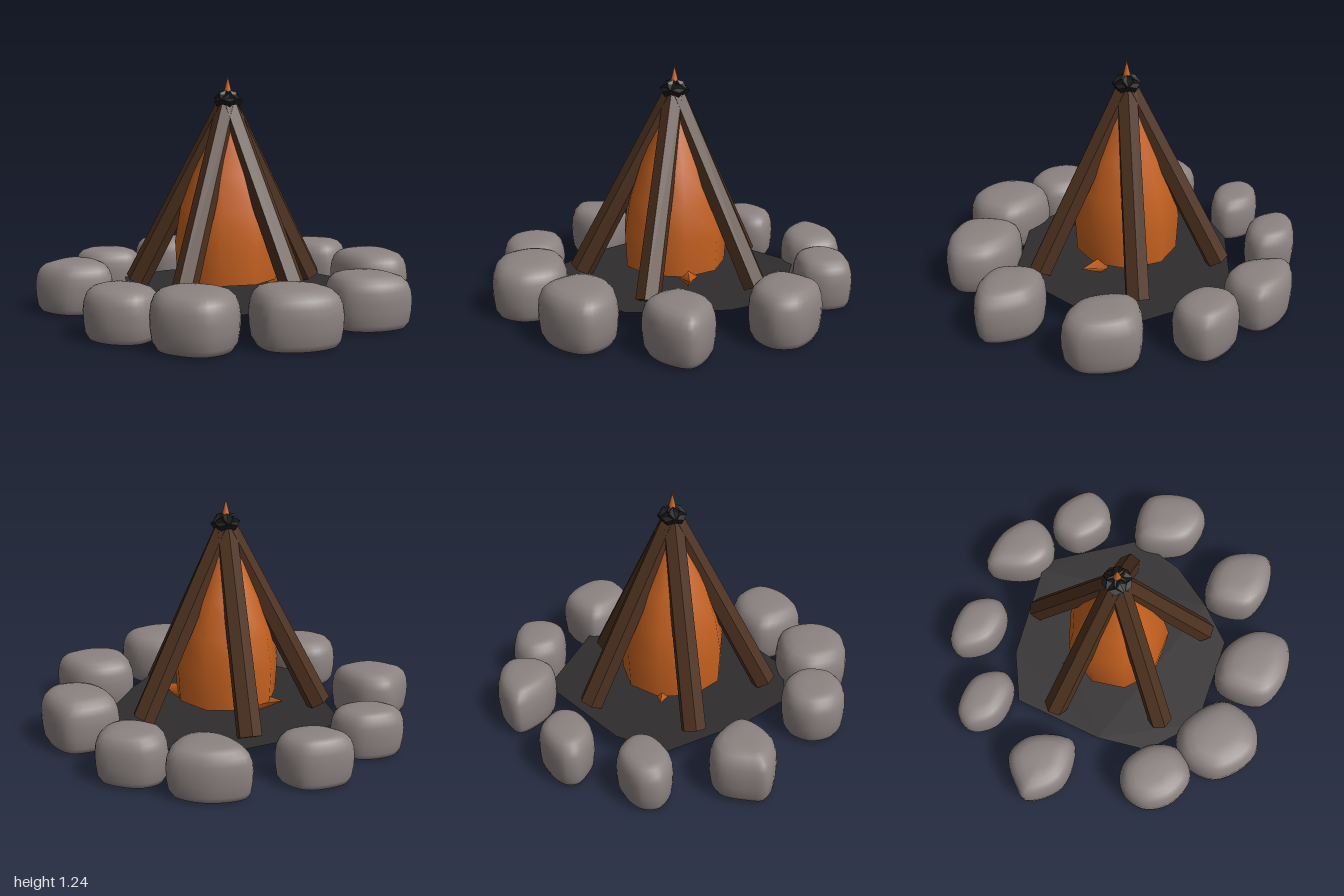
import * as THREE from 'three';

const mat = (color, flatShading = true, side = THREE.FrontSide) =>
  new THREE.MeshStandardMaterial({ color, flatShading, side, roughness: 1 });

function add(parent, name, geometry, material) {
  const mesh = new THREE.Mesh(geometry, material);
  mesh.name = name;
  parent.add(mesh);
  return mesh;
}

// Boulder: a smooth plan outline swept through layers of [scale, height fraction]
const stoneLayers = [[0, 0], [0.6, 0], [0.86, 0.03], [0.95, 0.14], [0.99, 0.35], [1, 0.55], [0.97, 0.72],
  [0.9, 0.85], [0.77, 0.94], [0.58, 0.985], [0.3, 1], [0, 1]];
function stoneGeometry(outline, height) {
  const corners = outline.map(([x, z]) => new THREE.Vector3(x, 0, z));
  const sides = 36;
  const plan = new THREE.CatmullRomCurve3(corners, true).getPoints(sides).slice(0, sides);
  const centre = new THREE.Box3().setFromPoints(plan).getCenter(new THREE.Vector3());
  const positions = [];
  const index = [];
  stoneLayers.forEach(([scale, level], i) => {
    plan.forEach((p, j) => {
      const v = centre.clone().lerp(p, scale);
      positions.push(v.x, 0.01 + level * (height - 0.01), v.z);
      if (i === stoneLayers.length - 1) return;
      const a = i * sides + j;
      const b = i * sides + (j + 1) % sides;
      index.push(a, a + sides, b, b, a + sides, b + sides);
    });
  });
  const geo = new THREE.BufferGeometry();
  geo.setAttribute('position', new THREE.Float32BufferAttribute(positions, 3));
  geo.setIndex(index);
  geo.computeVertexNormals();
  return geo;
}

// A log section between two points, six-sided
function logGeometry(from, to, rFrom, rTo) {
  const axis = to.clone().sub(from);
  const geo = new THREE.CylinderGeometry(rTo, rFrom, axis.length(), 6);
  geo.rotateX(Math.atan2(axis.z, axis.y));
  geo.translate(0, (from.y + to.y) / 2, (from.z + to.z) / 2);
  return geo;
}

export function createModel() {
  const model = new THREE.Group();
  model.name = 'campfire';

  // Ring of stones: top height, then the x, z corners of the outline
  const stones = [
    [0.28, [[-0.47, -0.79], [-0.3, -0.925], [-0.09, -0.92], [-0.05, -0.77], [-0.11, -0.66], [-0.24, -0.63], [-0.38, -0.69]]],
    [0.28, [[-0.03, -0.8], [0.05, -0.91], [0.28, -0.92], [0.33, -0.79], [0.27, -0.67], [0.05, -0.66]]],
    [0.3, [[0.37, -0.53], [0.55, -0.72], [0.79, -0.58], [0.79, -0.44], [0.62, -0.35], [0.42, -0.44]]],
    [0.29, [[0.55, 0], [0.65, -0.14], [0.79, -0.18], [0.99, -0.06], [0.89, 0.11], [0.71, 0.17]]],
    [0.3, [[0.35, 0.46], [0.47, 0.31], [0.69, 0.29], [0.82, 0.42], [0.73, 0.59], [0.53, 0.67]]],
    [0.3, [[-0.03, 0.73], [0.04, 0.58], [0.33, 0.56], [0.42, 0.75], [0.34, 0.9], [0.09, 0.91]]],
    [0.275, [[-0.395, 0.73], [-0.33, 0.61], [-0.15, 0.58], [-0.02, 0.67], [-0.03, 0.84], [-0.19, 0.91], [-0.34, 0.86]]],
    [0.285, [[-0.89, 0.44], [-0.85, 0.27], [-0.7, 0.23], [-0.5, 0.37], [-0.66, 0.55], [-0.88, 0.52]]],
    [0.26, [[-0.99, -0.09], [-0.82, -0.22], [-0.66, -0.17], [-0.65, -0.07], [-0.82, 0.06], [-0.98, 0.02]]],
    [0.27, [[-0.85, -0.48], [-0.67, -0.63], [-0.5, -0.57], [-0.5, -0.46], [-0.66, -0.35], [-0.84, -0.4]]],
  ];
  const ring = new THREE.Group();
  ring.name = 'stoneRing';
  model.add(ring);
  const stoneMat = mat(0x8c8381, false);
  for (const [top, outline] of stones) add(ring, 'stone', stoneGeometry(outline, top), stoneMat);

  // Thin uneven sheet of ash inside the ring
  const rim = [[-0.66, 0], [-0.55, -0.26], [-0.19, -0.64], [-0.13, -0.68], [0.4, -0.54], [0.52, -0.28],
    [0.545, 0], [0.53, 0.25], [0.16, 0.59], [-0.16, 0.59], [-0.37, 0.4]];
  const ashShape = new THREE.Shape(rim.map(([x, z]) => new THREE.Vector2(x, -z)));
  const ash = add(model, 'ashBed', new THREE.ShapeGeometry(ashShape), mat(0x302c2e, true, THREE.DoubleSide));
  ash.rotation.x = -Math.PI / 2;
  ash.position.y = 0.12;

  const pyre = new THREE.Group();
  pyre.name = 'pyre';
  pyre.position.set(-0.02, 0, -0.02);
  model.add(pyre);

  // Five leaning logs whose charred tips cross at the top
  const logMat = mat(0x4d311f);
  const charMat = mat(0x19191b);
  const foot = new THREE.Vector3(0, 0.147, 0.497);
  const neck = new THREE.Vector3(0, 1.08, 0.014);
  const tip = new THREE.Vector3(0, 1.15, -0.033);
  const logGeo = logGeometry(foot, neck, 0.066, 0.057);
  const tipGeo = logGeometry(neck, tip, 0.057, 0.055);
  for (let i = 0; i < 5; i++) {
    const angle = i * Math.PI * 2 / 5;
    add(pyre, 'log', logGeo, logMat).rotation.y = angle;
    add(pyre, 'charredTip', tipGeo, charMat).rotation.y = angle;
  }

  // Rounded flame with its point showing above the tips
  const flameMat = mat(0xc4601f, false);
  const flameProfile = [[0.27, 0.19], [0.28, 0.38], [0.25, 0.56], [0.19, 0.74], [0.11, 0.92], [0.04, 1.1], [0.02, 1.17], [0, 1.25]];
  const flame = add(pyre, 'flame',
    new THREE.LatheGeometry(flameProfile.map(([r, y]) => new THREE.Vector2(r, y)), 9), flameMat);
  flame.rotation.y = 0.35;
  const base = add(pyre, 'flameBase', new THREE.CircleGeometry(0.27, 9), flameMat);
  base.rotation.set(Math.PI / 2, 0, 0.35 - Math.PI / 2 + Math.PI / 9);
  base.position.y = 0.19;

  // Small flame tongues at the base
  const tongueGeo = new THREE.ConeGeometry(0.05, 0.14, 4);
  for (const [x, z, tilt] of [[0.3, -0.06, -1.4], [-0.27, -0.03, 1.4]]) {
    const tongue = add(pyre, 'flameTongue', tongueGeo, flameMat);
    tongue.position.set(x, 0.19, z);
    tongue.rotation.z = tilt;
  }
  return model;
}
